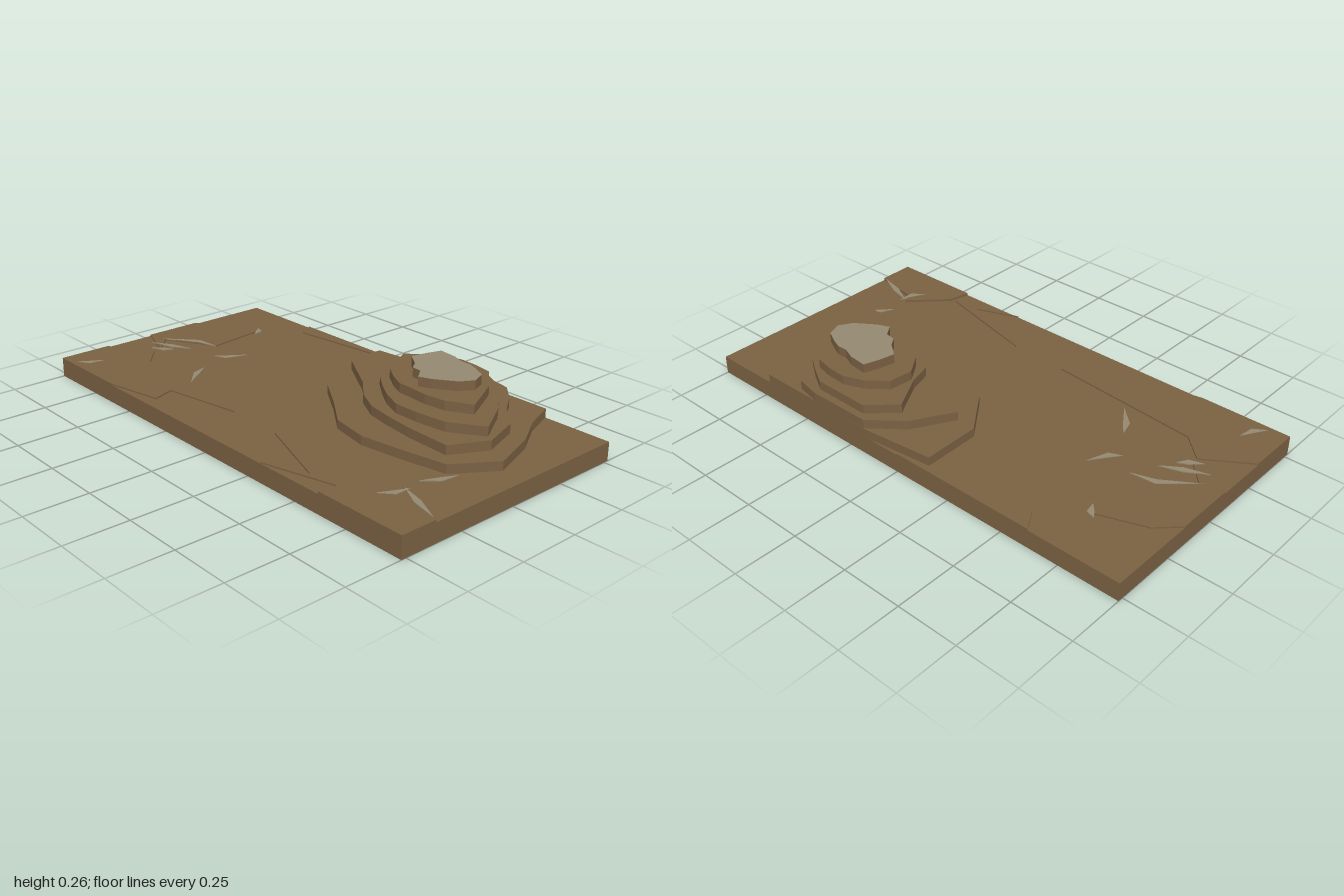
import * as THREE from 'three';

const earth = new THREE.MeshStandardMaterial({ color: 0x7a6042 });
earth.name = 'earth brown';
const stone = new THREE.MeshStandardMaterial({ color: 0x948870 });
stone.name = 'stone grey';

const BASE = 0.075;
const STEP = 0.0373;

// Flat-topped slab from an outline of [x, z] corners, between two heights
function slab(name, outline, bottom, top, material) {
  const shape = new THREE.Shape(outline.map(([x, z]) => new THREE.Vector2(x, -z)));
  const geometry = new THREE.ExtrudeGeometry(shape, { depth: top - bottom, bevelEnabled: false });
  geometry.rotateX(-Math.PI / 2);
  geometry.translate(0, bottom, 0);
  const mesh = new THREE.Mesh(geometry, material);
  mesh.name = name;
  return mesh;
}

// Contour around the hill centre, cut off at the back edge of the ground
function contour(radii) {
  return radii.map((r, i) => {
    const angle = (i / radii.length) * Math.PI * 2;
    return [0.44 + r * Math.cos(angle), Math.max(-0.52, -0.25 + r * Math.sin(angle))];
  });
}

// Narrow stone streak, pointed at both ends and bent in the middle
function streak(x0, z0, xm, zm, x1, z1, top) {
  const length = Math.hypot(x1 - x0, z1 - z0);
  const dx = -(z1 - z0) / length * 0.013, dz = (x1 - x0) / length * 0.013;
  const outline = [[x0, z0], [xm - dx, zm - dz], [x1, z1], [xm + dx, zm + dz]];
  return slab('stoneStreak', outline, top - 0.004, top, stone);
}

export function createModel() {
  const model = new THREE.Group();
  model.name = 'terracedTerrain';

  // Ground block
  const ground = new THREE.Mesh(new THREE.BoxGeometry(2, BASE, 1.04), earth);
  ground.name = 'groundBlock';
  ground.position.y = BASE / 2;
  model.add(ground);

  // Hill terraces, lowest to highest, as radii at even angles
  const terraces = [
    [0.4, 0.5, 0.5, 0.42, 0.41, 0.41, 0.4, 0.47, 0.57, 0.62, 0.4, 0.3, 0.27, 0.3, 0.39, 0.35],
    [0.33, 0.41, 0.43, 0.32, 0.28, 0.28, 0.29, 0.32, 0.49, 0.43, 0.38, 0.3, 0.27, 0.27, 0.25, 0.25],
    [0.27, 0.38, 0.32, 0.26, 0.24, 0.22, 0.22, 0.25, 0.26, 0.37, 0.34, 0.26, 0.24, 0.21, 0.21, 0.22],
    [0.2, 0.27, 0.22, 0.18, 0.16, 0.17, 0.18, 0.21, 0.25, 0.26, 0.23, 0.21, 0.19, 0.19, 0.17, 0.18],
    [0.16, 0.14, 0.12, 0.12, 0.13, 0.09, 0.11, 0.11, 0.16, 0.16, 0.18, 0.13, 0.1, 0.11, 0.12, 0.15],
  ].map(contour);
  terraces.forEach((outline, i) => {
    const top = 0.111 + i * STEP;
    model.add(slab('hillTerrace' + (i + 1), outline, top - STEP, top, earth));
  });

  // Bare stone on the summit
  model.add(slab('summitStone', terraces[4], 0.26, 0.262, stone));

  // Shallow rises around the edges of the ground
  const addRise = (top, ...outline) => model.add(slab('shallowRise', outline, 0.07, top, earth));
  addRise(0.081, [-1, -0.16], [-0.92, -0.24], [-0.73, -0.31], [-0.7, -0.06], [-0.91, 0.06],
    [-0.82, 0.15], [-1, 0.08]);
  addRise(0.081, [-0.82, 0.18], [-0.72, 0.27], [-0.08, 0.32], [-0.41, 0.38], [-0.38, 0.47],
    [-0.62, 0.52], [-1, 0.52], [-1, 0.3]);
  addRise(0.081, [0.17, 0.33], [0.62, 0.44], [0.32, 0.52], [0.5, 0.45]);
  addRise(0.081, [-0.62, -0.52], [-0.58, -0.45], [0, -0.52]);
  addRise(0.085, [0.78, 0.29], [0.8, 0.33], [1, 0.37], [1, 0.52], [0.62, 0.52], [0.64, 0.43]);

  // Exposed stone streaks
  model.add(
    streak(-0.75, -0.33, -0.72, -0.31, -0.7, -0.27, 0.083),
    streak(-0.92, 0.07, -0.79, -0.03, -0.69, -0.05, 0.083),
    streak(-0.91, 0.13, -0.82, 0.09, -0.74, 0.05, 0.083),
    streak(-0.86, 0.17, -0.81, 0.14, -0.78, 0.11, 0.083),
    streak(-0.61, 0.02, -0.57, -0.01, -0.53, -0.09, 0.078),
    streak(-0.53, 0.13, -0.5, 0.19, -0.43, 0.27, 0.078),
    streak(-0.92, 0.5, -0.88, 0.46, -0.86, 0.4, 0.083),
    streak(0.77, 0.21, 0.81, 0.15, 0.83, 0.08, 0.078),
    streak(0.78, 0.29, 0.88, 0.33, 0.99, 0.37, 0.087),
    streak(0.75, 0.39, 0.79, 0.34, 0.8, 0.28, 0.087),
  );

  return model;
}
